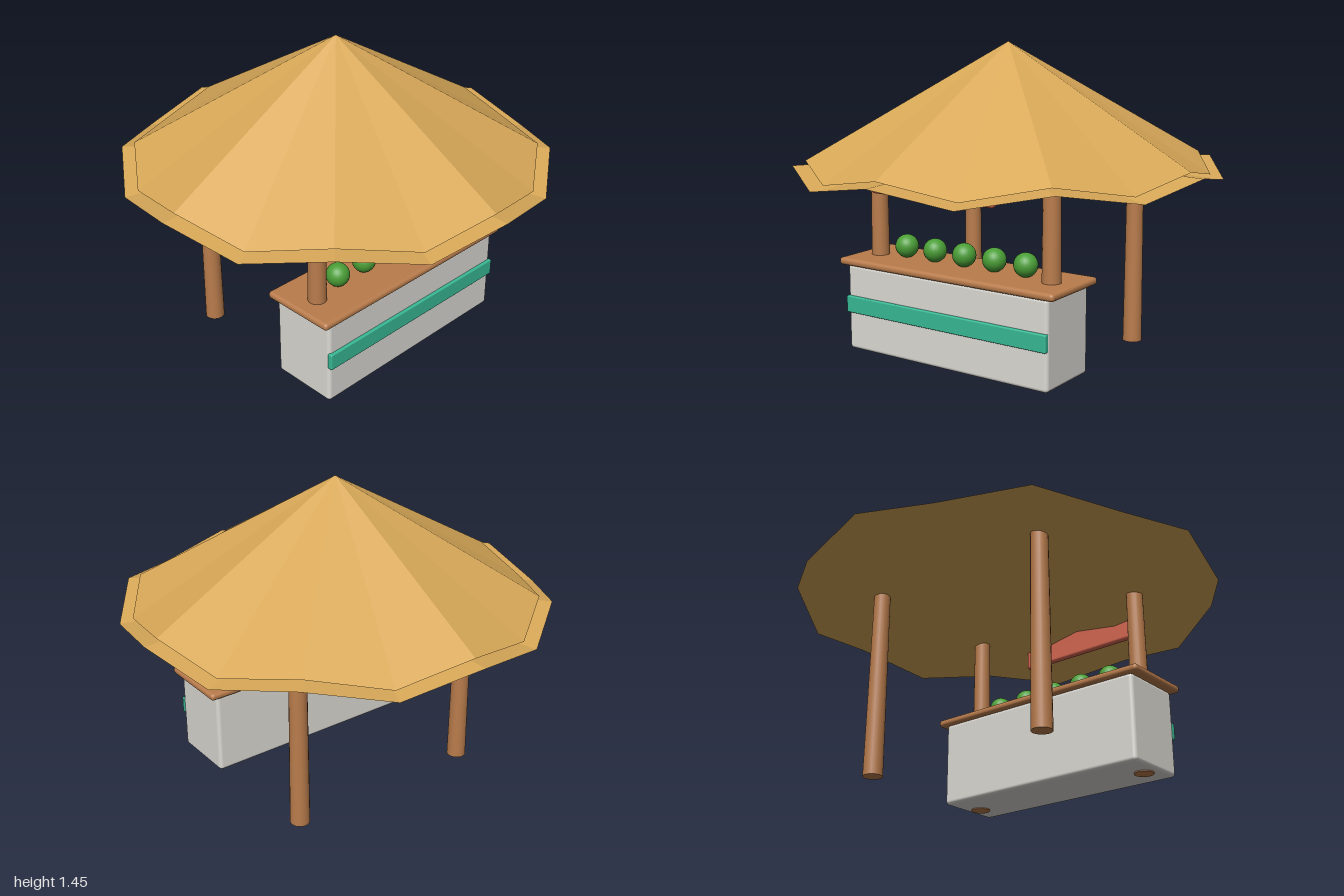
import * as THREE from 'three';
import { RoundedBoxGeometry } from 'three/addons/geometries/RoundedBoxGeometry.js';

function material(name, color) {
  const m = new THREE.MeshStandardMaterial({ color });
  m.name = name;
  return m;
}

// Open sixteen-sided cone whose rim alternates between high and low corners
function thatchLayer(radius, apexY, rimY, dip) {
  const sides = 16;
  const rim = i => {
    const a = (i / sides) * Math.PI * 2;
    return [Math.sin(a) * radius, rimY - (i % 2) * dip, Math.cos(a) * radius];
  };
  const positions = [];
  for (let i = 0; i < sides; i++) positions.push(0, apexY, 0, ...rim(i), ...rim((i + 1) % sides));
  const g = new THREE.BufferGeometry();
  g.setAttribute('position', new THREE.Float32BufferAttribute(positions, 3));
  g.computeVertexNormals();
  return g;
}

export function createModel() {
  const group = new THREE.Group();
  group.name = 'marketStall';

  const thatch = material('thatch', 0xd8a858);
  thatch.side = THREE.DoubleSide;
  const wood = material('wood', 0xb97c4c);
  const panel = material('panel', 0xdcdad4);
  const teal = material('teal', 0x38b894);
  const red = material('red', 0xd4654f);
  const green = material('green', 0x4a9e36);

  const add = (name, geometry, mat, x, y, z) => {
    const mesh = new THREE.Mesh(geometry, mat);
    mesh.name = name;
    mesh.position.set(x, y, z);
    group.add(mesh);
    return mesh;
  };

  // Rounded box given by its limits on each axis
  const block = (name, mat, [x0, x1], [y0, y1], [z0, z1], r) =>
    add(name, new RoundedBoxGeometry(x1 - x0, y1 - y0, z1 - z0, 4, r), mat,
      (x0 + x1) / 2, (y0 + y1) / 2, (z0 + z1) / 2);

  // Roof: steep upper layer over a wide, shallow lower layer
  add('upperRoof', thatchLayer(0.94, 1.445, 0.912, 0.06), thatch, 0, 0, 0);
  add('lowerRoof', thatchLayer(1, 0.93, 0.89, 0.06), thatch, 0, 0, 0);

  // Four tapered posts
  const postGeometry = new THREE.CylinderGeometry(0.039, 0.046, 0.92, 20);
  for (const [end, z] of [['front', 0.37], ['back', -0.37]]) {
    for (const [side, x] of [['Left', 0.48], ['Right', -0.48]]) {
      add(end + side + 'Post', postGeometry, wood, x, 0.46, z);
    }
  }

  // Counter with its top and front stripe
  block('counter', panel, [-0.555, 0.555], [0.005, 0.415], [0.19, 0.52], 0.018);
  block('counterTop', wood, [-0.593, 0.593], [0.41, 0.445], [0.17, 0.54], 0.016);
  block('counterStripe', teal, [-0.555, 0.555], [0.185, 0.265], [0.51, 0.535], 0.006);

  // Sign board hanging under the front eave
  block('signBoard', red, [-0.333, 0.333], [0.783, 0.95], [0.562, 0.597], 0.014);

  // Row of round fruit
  const fruitGeometry = new THREE.SphereGeometry(0.055, 24, 16);
  for (let i = -2; i <= 2; i++) add('fruit', fruitGeometry, green, i * 0.167, 0.498, 0.35);

  return group;
}
